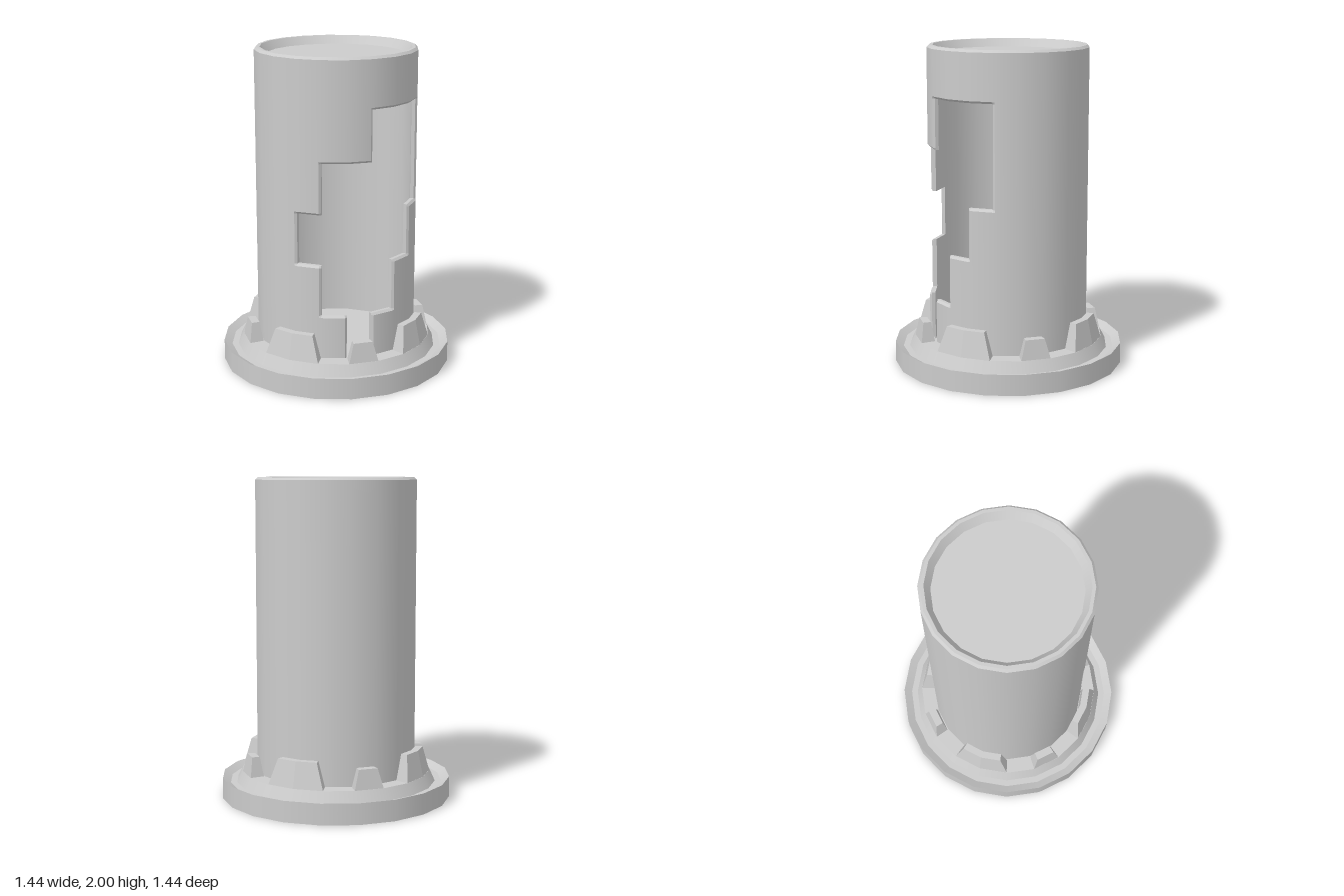
import * as THREE from 'three';

const DEG = Math.PI / 180;
const SIDES = 20, STEP = 18, TURN = 4; // facets, degrees per facet, rotation of the first corner
const material = new THREE.MeshStandardMaterial({ color: 0xcccccc });
const doubleSided = new THREE.MeshStandardMaterial({ color: 0xcccccc, side: THREE.DoubleSide });

// Point on the 20-sided outline at an angle measured from +z towards +x
function ringPoint(radius, deg, y) {
  const off = ((((deg - TURN) % STEP) + STEP) % STEP) - STEP / 2;
  const r = radius * Math.cos(9 * DEG) / Math.cos(off * DEG);
  return new THREE.Vector3(r * Math.sin(deg * DEG), y, r * Math.cos(deg * DEG));
}

// Collects quads; smooth = 1 / -1 gives outward / inward radial normals, 0 gives flat ones
class Quads {
  constructor() { this.pos = []; this.nor = []; }
  add(a, b, c, d, smooth = 0) {
    const flat = new THREE.Vector3().subVectors(c, a).cross(new THREE.Vector3().subVectors(d, b)).normalize();
    for (const p of [a, b, c, a, c, d]) {
      const n = smooth ? new THREE.Vector3(p.x, 0, p.z).normalize().multiplyScalar(smooth) : flat;
      this.pos.push(p.x, p.y, p.z);
      this.nor.push(n.x, n.y, n.z);
    }
  }
  mesh(name, mat = material) {
    const g = new THREE.BufferGeometry();
    g.setAttribute('position', new THREE.Float32BufferAttribute(this.pos, 3));
    g.setAttribute('normal', new THREE.Float32BufferAttribute(this.nor, 3));
    const m = new THREE.Mesh(g, mat);
    m.name = name;
    return m;
  }
}

// Revolved profile [radius, y], smooth around and sharp between bands
function revolve(name, profile) {
  const group = new THREE.Group();
  group.name = name;
  for (let i = 0; i + 1 < profile.length; i++) {
    const pts = [profile[i], profile[i + 1]].map(([r, y]) => new THREE.Vector2(r, y));
    const band = new THREE.Mesh(new THREE.LatheGeometry(pts, SIDES, TURN * DEG), material);
    band.name = name + 'Band';
    group.add(band);
  }
  return group;
}

// Opening per row, bottom to top: first and last angle
const OPENING = [[-14, 4], [-32, 22], [-50, 40], [-32, 58], [4, 58]];
const ROW0 = 0.1275, ROW = 0.3125;

function isOpen(deg, y) {
  const span = OPENING[Math.floor((y - ROW0) / ROW)];
  return !!span && deg > span[0] && deg < span[1];
}

// Hollow tube with a stepped opening whose outer edges are bevelled
function buildTube() {
  const outer = 0.5, inner = 0.465, bevel = 0.013;
  const angles = [], ys = [ROW0];
  for (let i = 0; i < SIDES; i++) {
    const a = TURN + STEP * (i - 10);
    angles.push(a, a + 1.5, a + STEP - 1.5);
  }
  angles.push(TURN + 180);
  for (let i = 1; i <= 5; i++) {
    const y = ROW0 + ROW * i;
    ys.push(y - bevel, y, y + bevel);
  }
  ys.push(1.985);
  const nA = angles.length - 1, nY = ys.length - 1;
  const open = (i, j) => {
    if (j < 0 || j >= nY) return false;
    i = (i + nA) % nA;
    return isOpen((angles[i] + angles[i + 1]) / 2, (ys[j] + ys[j + 1]) / 2);
  };
  const touches = (i, j) => open(i, j) || open(i - 1, j) || open(i, j - 1) || open(i - 1, j - 1);
  const out = (i, j) => ringPoint(touches(i, j) ? outer - bevel : outer, angles[i], ys[j]);
  const inn = (i, j) => ringPoint(inner, angles[i], ys[j]);
  const q = new Quads();
  for (let i = 0; i < nA; i++) for (let j = 0; j < nY; j++) {
    if (open(i, j)) continue;
    const edge = touches(i, j) || touches(i + 1, j) || touches(i, j + 1) || touches(i + 1, j + 1);
    q.add(out(i, j), out(i + 1, j), out(i + 1, j + 1), out(i, j + 1), edge ? 0 : 1);
    q.add(inn(i + 1, j), inn(i, j), inn(i, j + 1), inn(i + 1, j + 1), -1);
    // wall thickness around the opening
    if (open(i + 1, j)) q.add(out(i + 1, j), inn(i + 1, j), inn(i + 1, j + 1), out(i + 1, j + 1));
    if (open(i - 1, j)) q.add(inn(i, j), out(i, j), out(i, j + 1), inn(i, j + 1));
    if (open(i, j + 1)) q.add(out(i, j + 1), out(i + 1, j + 1), inn(i + 1, j + 1), inn(i, j + 1));
    if (open(i, j - 1)) q.add(inn(i, j), inn(i + 1, j), out(i + 1, j), out(i, j));
  }
  return q.mesh('tubeWall', doubleSided);
}

// Tapered tooth following the collar
function buildTooth(name, centre, halfBase, halfTop, top) {
  const q = new Quads(), base = 0.165, n = 2;
  const corner = (k, r, high) => {
    const deg = centre + (high ? halfTop : halfBase) * (k - 1);
    return ringPoint(r, deg, high ? top : base);
  };
  const rTop = top > 0.3 ? [0.515, 0.56] : [0.525, 0.575];
  const ib = k => corner(k, 0.505, false), ob = k => corner(k, 0.595, false);
  const it = k => corner(k, rTop[0], true), ot = k => corner(k, rTop[1], true);
  for (let k = 0; k < n; k++) {
    q.add(ob(k), ob(k + 1), ot(k + 1), ot(k));
    q.add(ib(k + 1), ib(k), it(k), it(k + 1));
    q.add(ot(k), ot(k + 1), it(k + 1), it(k));
  }
  q.add(ib(0), ob(0), ot(0), it(0));
  q.add(ob(n), ib(n), it(n), ot(n));
  return q.mesh(name);
}

export function createModel() {
  const model = new THREE.Group();
  model.name = 'tubeOnBase';

  // Base with a raised rim, shallow groove, collar and inside floor
  model.add(revolve('base', [
    [0, 0], [0.72, 0], [0.72, 0.13], [0.67, 0.1], [0.63, 0.1],
    [0.595, 0.17], [0.49, 0.17], [0.47, 0.13], [0, 0.13],
  ]));

  // Teeth around the collar, narrow and wide in turn
  for (let i = 0; i < 4; i++) {
    model.add(buildTooth('narrowTooth', -5 + 90 * i, 9, 6, 0.29));
    model.add(buildTooth('wideTooth', 40 + 90 * i, 18, 13.5, 0.33));
  }

  model.add(buildTube());

  // Bevelled top rim with a recessed lid
  model.add(revolve('topRim', [[0.5, 1.985], [0.485, 2], [0.465, 2], [0.43, 1.95], [0, 1.95]]));
  model.add(revolve('lidUnderside', [[0, 1.93], [0.467, 1.93]]));
  return model;
}
